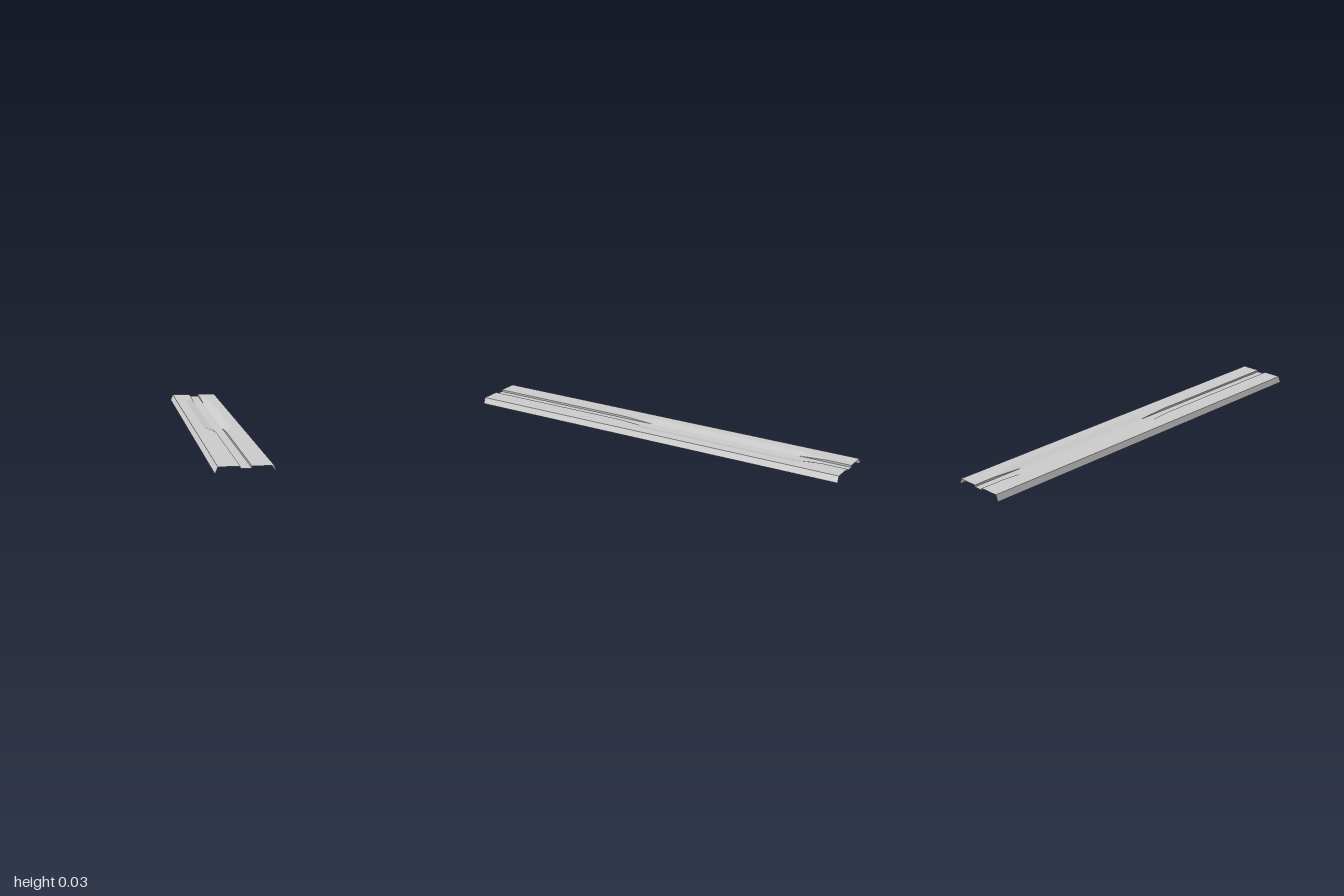
import * as THREE from 'three';

const TOP = 0.03, FLOOR = 0.0205;
const HALF = 0.13, SHOULDER = 0.118, KNEE = 0.067, GROOVE = 0.024;

// Stations along the length; dip = 0 is a square groove, 1 a shallow sloped valley
const STATIONS = [[1, 0], [0.21, 0], [0.06, 1], [-0.73, 1], [-0.88, 0], [-1, 0]];

// Cross-section from the -x edge to the +x edge, mirrored about the middle
function section(z, dip) {
  const knee = THREE.MathUtils.lerp(GROOVE, KNEE, dip);
  const lip = THREE.MathUtils.lerp(TOP, FLOOR, dip);
  const half = [[HALF, 0], [SHOULDER, TOP], [knee, TOP], [GROOVE, lip], [GROOVE, FLOOR]];
  const left = half.map(([x, y]) => new THREE.Vector3(-x, y, z));
  const right = half.map(([x, y]) => new THREE.Vector3(x, y, z)).reverse();
  return [...left, ...right];
}

// Skins neighbouring sections over the columns from first to last
function strip(name, first, last, material) {
  const rows = STATIONS.map(([z, dip]) => section(z, dip));
  const pos = [];
  const tri = (a, b, c) => {
    if (new THREE.Triangle(a, b, c).getArea() < 1e-8) return; // collapsed corner
    for (const p of [a, b, c]) pos.push(p.x, p.y, p.z);
  };
  for (let i = 0; i < rows.length - 1; i++) {
    for (let j = first; j < last; j++) {
      const a = rows[i][j], b = rows[i][j + 1];
      const c = rows[i + 1][j + 1], d = rows[i + 1][j];
      tri(a, b, c);
      tri(a, c, d);
    }
  }
  const geometry = new THREE.BufferGeometry();
  geometry.setAttribute('position', new THREE.Float32BufferAttribute(pos, 3));
  geometry.computeVertexNormals();
  const mesh = new THREE.Mesh(geometry, material);
  mesh.name = name;
  return mesh;
}

export function createModel() {
  const group = new THREE.Group();
  group.name = 'pressedSheetPanel';
  const material = new THREE.MeshStandardMaterial({
    color: 0xcccccc, flatShading: true, side: THREE.DoubleSide,
  });
  // Sloped edge flanges, flat tops with groove walls, and the groove floor
  group.add(
    strip('rightFlange', 0, 1, material),
    strip('rightTopSheet', 1, 4, material),
    strip('grooveFloor', 4, 5, material),
    strip('leftTopSheet', 5, 8, material),
    strip('leftFlange', 8, 9, material),
  );
  return group;
}
